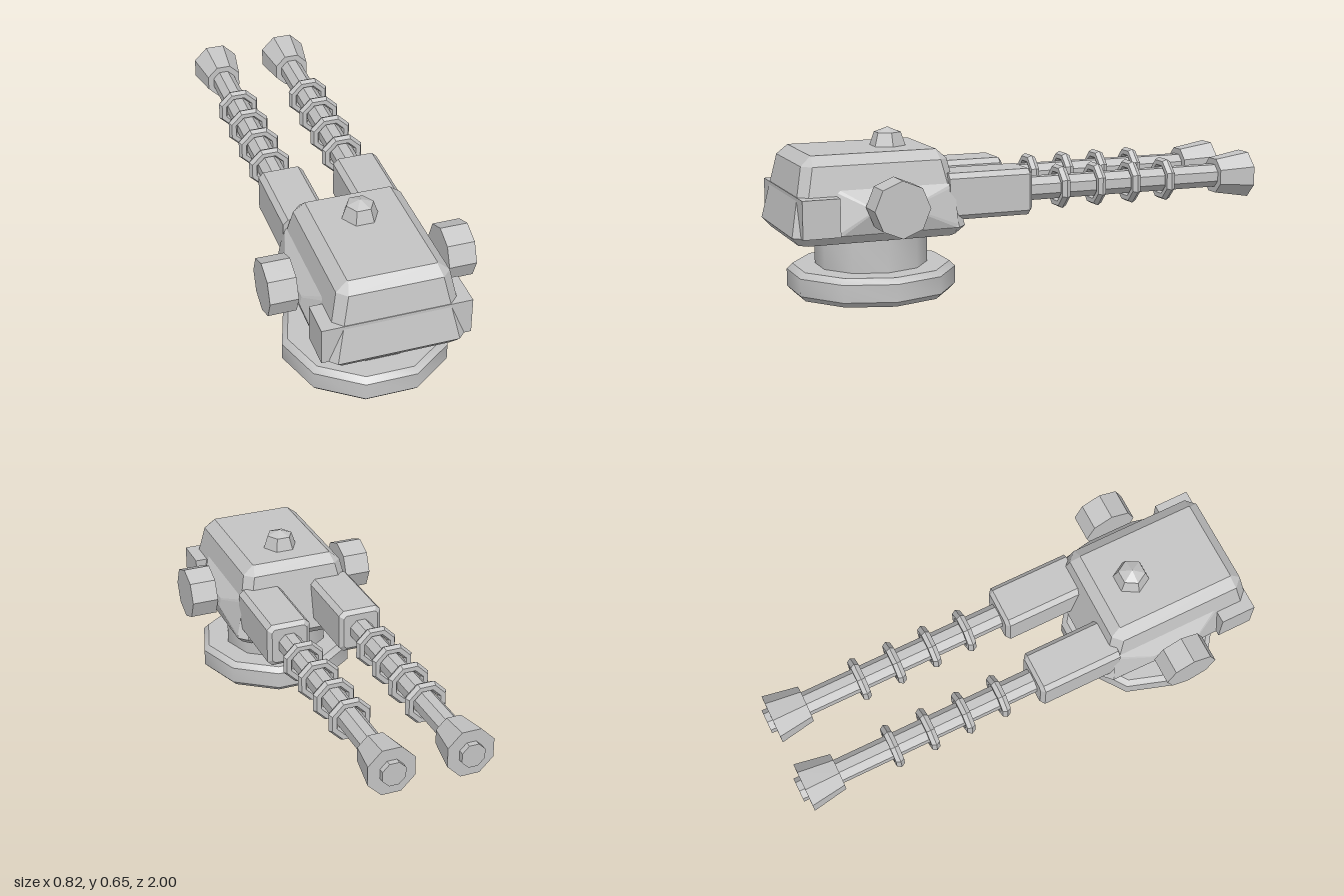
import * as THREE from 'three';
import { toCreasedNormals } from 'three/addons/utils/BufferGeometryUtils.js';

const metal = new THREE.MeshStandardMaterial({ color: 0xc4c4c4 });
metal.name = 'light grey metal';

// Stack of rectangles with cut corners: [height, halfX, z0, z1, cornerCut]
function chamferLoft(sections) {
  const pos = [], idx = [], n = 8;
  for (const [y, hx, z0, z1, c] of sections) {
    const ring = [[hx, z1 - c], [hx, z0 + c], [hx - c, z0], [-hx + c, z0],
      [-hx, z0 + c], [-hx, z1 - c], [-hx + c, z1], [hx - c, z1]];
    for (const [x, z] of ring) pos.push(x, y, z);
  }
  for (let s = 0; s < sections.length - 1; s++) {
    for (let i = 0; i < n; i++) {
      const a = s * n + i, b = s * n + (i + 1) % n;
      idx.push(a, b, b + n, a, b + n, a + n);
    }
  }
  const top = (sections.length - 1) * n;
  for (let i = 1; i < n - 1; i++) {
    idx.push(0, i + 1, i);
    idx.push(top, top + i, top + i + 1);
  }
  const g = new THREE.BufferGeometry();
  g.setAttribute('position', new THREE.Float32BufferAttribute(pos, 3));
  g.setIndex(idx);
  return flat(g);
}

function flat(g) {
  const out = g.toNonIndexed();
  out.computeVertexNormals();
  return out;
}

// Ten-sided turned part, smooth around and sharp at the rims
function turned(points) {
  const g = new THREE.LatheGeometry(points.map(([r, y]) => new THREE.Vector2(r, y)), 10, Math.PI / 2);
  return toCreasedNormals(g, 0.68);
}

// Eight-sided rod running from z = zFrom back to z = zTo
function rod(rFrom, rTo, zFrom, zTo) {
  const g = new THREE.CylinderGeometry(rTo, rFrom, zFrom - zTo, 8, 1, false, Math.PI / 8);
  g.rotateX(-Math.PI / 2).translate(0, 0, (zFrom + zTo) / 2);
  return flat(g);
}

function add(parent, name, geometry, x = 0, y = 0, z = 0) {
  const mesh = new THREE.Mesh(geometry, metal);
  mesh.name = name;
  mesh.position.set(x, y, z);
  parent.add(mesh);
}

export function createModel() {
  const model = new THREE.Group();
  model.name = 'gunTurret';
  const axisZ = 0.62;

  // Pedestal
  add(model, 'base', turned([[0, 0], [0.311, 0], [0.333, 0.022], [0.333, 0.091], [0.311, 0.113], [0, 0.113]]), 0, 0, axisZ);
  add(model, 'column', turned([[0, 0.1], [0.222, 0.1], [0.222, 0.25], [0, 0.25]]), 0, 0, axisZ);

  // Turret body
  add(model, 'body', chamferLoft([
    [0.245, 0.24, 0.34, 0.97, 0.03],
    [0.28, 0.27, 0.31, 1.0, 0.035],
    [0.54, 0.217, 0.365, 0.947, 0.036],
    [0.577, 0.172, 0.405, 0.905, 0.003],
  ]));
  add(model, 'frontBlock', new THREE.BoxGeometry(0.58, 0.148, 0.147), 0, 0.354, 0.899);

  // Roof cap
  const capSide = new THREE.CylinderGeometry(0.054, 0.073, 0.056, 6, 1, false, Math.PI / 2);
  add(model, 'roofCap', flat(capSide), 0, 0.602, 0.545);
  const capTip = new THREE.ConeGeometry(0.054, 0.021, 6, 1, false, Math.PI / 2);
  add(model, 'roofCapTip', flat(capTip), 0, 0.6395, 0.545);

  for (const side of [1, -1]) {
    // Side pivot and the shallow swelling of the wall behind it
    const pivot = new THREE.CylinderGeometry(0.11, 0.11, 0.111, 8);
    add(model, 'sidePivot', flat(pivot.rotateZ(Math.PI / 2)), side * 0.3525, 0.39, axisZ);
    const mount = chamferLoft([[0, 0.085, -0.27, 0.2, 0.01], [0.036, 0.02, -0.11, 0.1, 0.005]]);
    mount.rotateZ(-side * (Math.PI / 2 - 0.2));
    add(model, 'pivotMount', mount, side * 0.253, 0.365, axisZ);

    // Gun
    const gun = new THREE.Group();
    gun.name = 'gun';
    gun.position.set(side * 0.157, 0.394, 0);
    model.add(gun);
    const housing = chamferLoft([
      [0, 0.092, -0.092, 0.092, 0.02],
      [0.335, 0.092, -0.092, 0.092, 0.02],
      [0.35, 0.075, -0.075, 0.075, 0.012],
    ]);
    add(gun, 'gunHousing', housing.rotateX(-Math.PI / 2), 0, 0, 0.375);
    add(gun, 'barrel', rod(0.05, 0.05, 0.05, -1));
    add(gun, 'muzzle', rod(0.076, 0.101, -0.83, -0.977));
    for (const z of [-0.125, -0.282, -0.438, -0.594]) {
      const ring = new THREE.TorusGeometry(0.072, 0.02, 6, 8);
      add(gun, 'coolingRing', flat(ring.rotateZ(Math.PI / 8)), 0, 0, z);
    }
  }
  return model;
}
